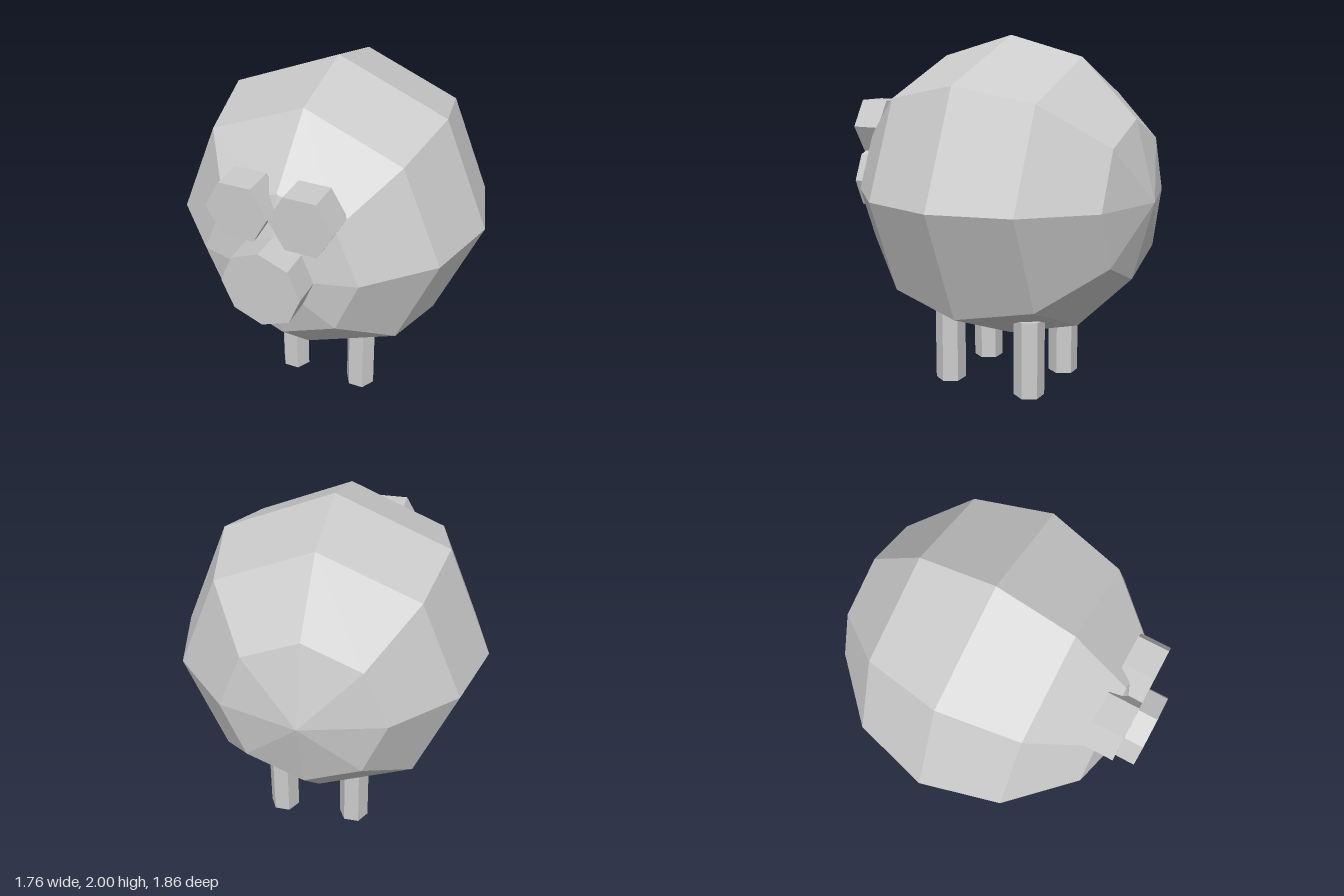
import * as THREE from 'three';

export function createModel() {
  const model = new THREE.Group();
  const material = new THREE.MeshStandardMaterial({ color: 0xcccccc, flatShading: true });

  const add = (name, geometry, x, y, z) => {
    const mesh = new THREE.Mesh(geometry, material);
    mesh.name = name;
    mesh.position.set(x, y, z);
    model.add(mesh);
  };

  // Prism with a corner at +x, standing along y
  const prism = (radius, length, sides) =>
    new THREE.CylinderGeometry(radius, radius, length, sides).rotateY(Math.PI / 2);

  // Round low-poly body with its poles at front and back
  add('body', new THREE.SphereGeometry(0.88, 8, 6).rotateX(Math.PI / 2), 0, 1.12, -0.05);

  // Snout and eyes point forward
  add('snout', prism(0.22, 0.16, 8).rotateX(Math.PI / 2), 0, 1.12, 0.85);
  for (const [side, sign] of [['left', 1], ['right', -1]]) {
    add(side + 'Eye', prism(0.175, 0.175, 6).rotateX(Math.PI / 2), sign * 0.175, 1.47, 0.73);
  }

  // Four hexagonal legs, set slightly to the left of centre
  const legHeight = 0.445;
  for (const [side, x] of [['Left', 0.2625], ['Right', -0.175]]) {
    for (const [end, z] of [['front', 0.21], ['back', -0.315]]) {
      add(end + side + 'Leg', prism(0.0875, legHeight, 6), x, legHeight / 2, z);
    }
  }

  return model;
}
